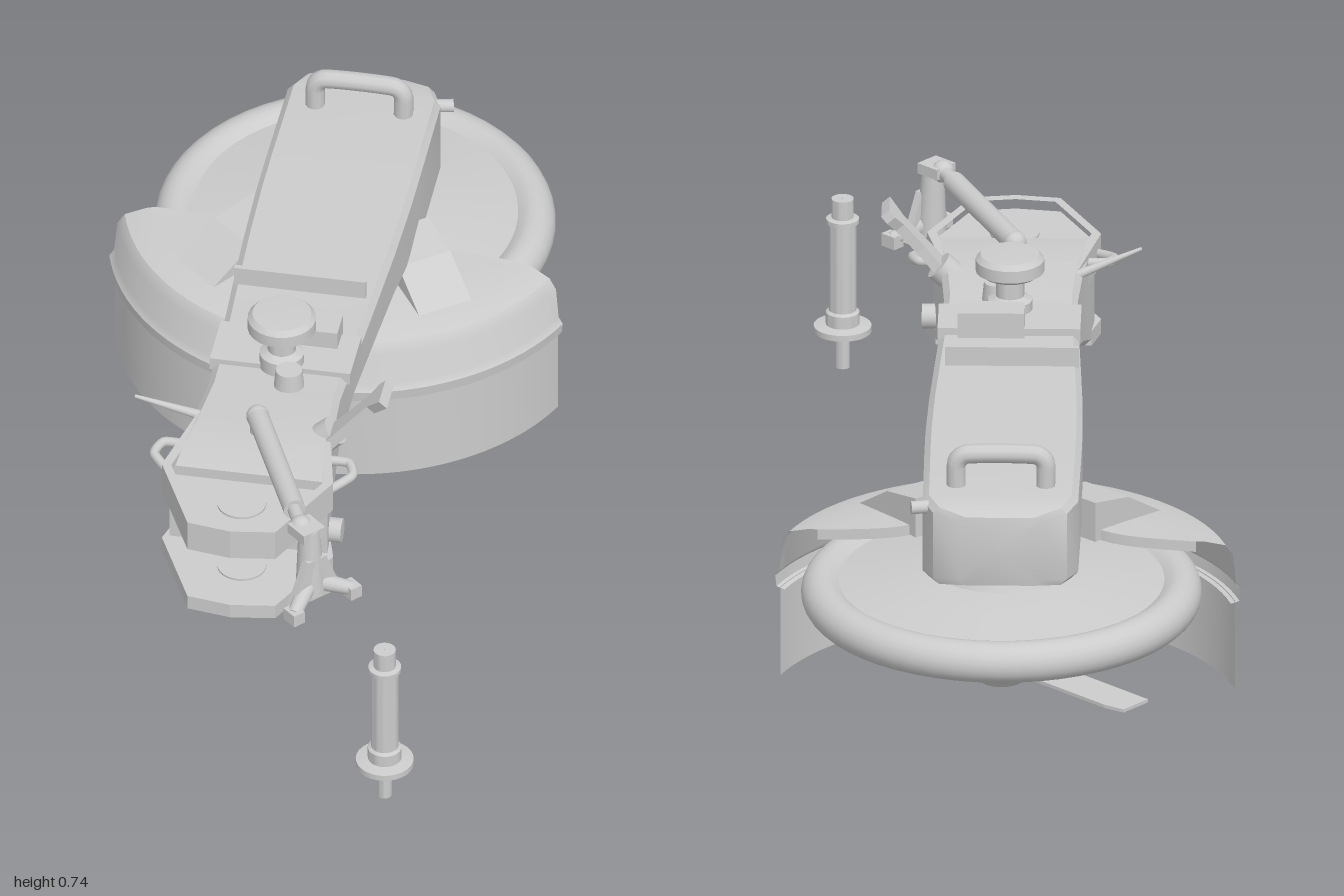
import * as THREE from 'three';
import { toCreasedNormals } from 'three/addons/utils/BufferGeometryUtils.js';

const grey = new THREE.MeshStandardMaterial({ color: 0xcccccc });
const thin = new THREE.MeshStandardMaterial({ color: 0xcccccc, side: THREE.DoubleSide });
const V = (x, y, z) => new THREE.Vector3(x, y, z);
const vec2 = pts => pts.map(p => new THREE.Vector2(...p));

function add(parent, name, geo, x = 0, y = 0, z = 0, mat = grey) {
  const m = new THREE.Mesh(geo, mat);
  m.name = name;
  m.position.set(x, y, z);
  parent.add(m);
  return m;
}

// Straight round bar between two points
function rod(parent, name, a, b, r, r2 = r) {
  const d = b.clone().sub(a), mid = a.clone().add(b).multiplyScalar(0.5);
  const m = add(parent, name, new THREE.CylinderGeometry(r2, r, d.length(), 16), mid.x, mid.y, mid.z);
  m.quaternion.setFromUnitVectors(V(0, 1, 0), d.normalize());
}

// Surface skinned over rows of points
function skin(rows) {
  const n = rows[0].length, pos = [], index = [];
  rows.forEach(row => row.forEach(p => pos.push(p.x, p.y, p.z)));
  for (let i = 0; i < rows.length - 1; i++)
    for (let j = 0; j < n - 1; j++) {
      const a = i * n + j, b = a + n;
      index.push(a, b, a + 1, b, b + 1, a + 1);
    }
  const g = new THREE.BufferGeometry();
  g.setAttribute('position', new THREE.Float32BufferAttribute(pos, 3));
  g.setIndex(index);
  return toCreasedNormals(g, 0.6);
}

// Flat outline given a thickness
function slab(points, depth, hole) {
  const s = new THREE.Shape(vec2(points));
  if (hole) s.holes.push(hole);
  return new THREE.ExtrudeGeometry(s, { depth, bevelEnabled: false });
}
// The same lying flat, its upper face at y = 0
const plate = (...args) => slab(...args).rotateX(Math.PI / 2);

const lathe = (pts, seg = 48) => toCreasedNormals(new THREE.LatheGeometry(vec2(pts), seg), 0.6);

const tube = (pts, r) =>
  new THREE.TubeGeometry(new THREE.CatmullRomCurve3(pts, false, 'catmullrom', 0.3), 40, r, 10);

function buildDeck(g) {
  // Dished disc with a rolled bumper rim, conical underneath
  const rim = [];
  for (let i = 0; i <= 12; i++) {
    const a = -Math.PI / 2 + i / 12 * Math.PI * 1.15;
    rim.push([0.402 + 0.047 * Math.cos(a), 0.298 + 0.047 * Math.sin(a)]);
  }
  add(g, 'bumperDish', lathe([[0.001, 0.35], [0.1, 0.345], [0.25, 0.322], [0.37, 0.285], [0.39, 0.255], ...rim,
    [0.365, 0.328], [0.25, 0.345], [0.15, 0.36], [0.001, 0.365]], 56), 0, 0, 0, thin);
  add(g, 'armMount', new THREE.CylinderGeometry(0.13, 0.16, 0.06, 32), 0, 0.38);

  // Hub, cap and cutting blade
  add(g, 'hub', lathe([[0.001, 0.08], [0.05, 0.085], [0.085, 0.115], [0.09, 0.145], [0.053, 0.15],
    [0.053, 0.215], [0.075, 0.22], [0.075, 0.25], [0.06, 0.26], [0.06, 0.35]], 32), 0, 0, 0, thin);
  const blade = add(g, 'blade', plate([[-0.41, -0.035], [-0.36, -0.045], [0.41, -0.045], [0.41, 0.035],
    [0.36, 0.045], [-0.41, 0.045]], 0.008), 0, 0.142);
  blade.rotation.y = Math.PI / 2 - g.rotation.y;

  // Hood wrapping the forward side of the deck; it narrows at both ends
  const sweep = 71 * Math.PI / 180, hood = [], skirt = [];
  for (let i = 0; i <= 40; i++) {
    const t = 1 - i / 20, phi = Math.PI + 0.06 + t * sweep, inner = 0.25 + 0.2 * t ** 8;
    const at = (r, y) => V(r * Math.cos(phi), y, r * Math.sin(phi));
    const peak = 0.4 - 0.03 * t * t;
    hood.push([[0.53, 0.21], [0.55, 0.215], [0.553, 0.24], [0.542, 0.255], [0.535, 0.33], [0.518, 0.354],
      [0.47, 0.368], [(0.47 + inner) / 2, (0.368 + peak) / 2], [inner, peak], [inner, peak - 0.025]]
      .map(p => at(...p)));
    skirt.push([at(0.54, 0), at(0.54, 0.215)]);
  }
  add(g, 'hood', skin(hood), 0, 0, 0, thin);
  add(g, 'skirt', skin(skirt), 0, 0, 0, thin);

  // Wedge ribs on the hood
  for (const s of [-1, 1]) {
    const geo = slab([[0.24, 0.36], [0.47, 0.36], [0.35, 0.435], [0.24, 0.455]], 0.13).translate(0, 0, -0.065);
    add(g, 'hoodRib', geo).rotation.y = Math.PI - 0.04 + s * 0.68;
  }
  add(g, 'hoodBracket', new THREE.BoxGeometry(0.2, 0.07, 0.22), -0.32, 0.425, 0);
}

function buildArm(g) {
  // Arm beam: position along the arm, top, bottom, half width
  const stations = [[-1.32, 0.59, 0.358, 0.18], [-1.25, 0.598, 0.36, 0.174], [-1.15, 0.6, 0.4, 0.16],
    [-1, 0.588, 0.45, 0.15], [-0.85, 0.58, 0.472, 0.155], [-0.62, 0.58, 0.462, 0.165],
    [-0.45, 0.58, 0.45, 0.172], [-0.27, 0.58, 0.41, 0.176], [-0.15, 0.58, 0.382, 0.176],
    [0.11, 0.578, 0.38, 0.174], [0.165, 0.572, 0.385, 0.15], [0.195, 0.56, 0.395, 0.09]];
  const c = 0.014;
  const rows = stations.map(([u, t, b, w]) => [[w - c, t], [c - w, t], [-w, t - c], [-w, b + c],
    [c - w, b], [w - c, b], [w, b + c], [w, t - c], [w - c, t]].map(([z, y]) => V(u, y, z)));
  const cap = row => row.map(p => V(p.x, 0.48, 0));
  add(g, 'armBeam', skin([cap(rows[0]), ...rows, cap(rows.at(-1))]));

  // Rear grab handle and latch pin
  add(g, 'rearHandle', tube([V(0.05, 0.56, -0.1), V(0.05, 0.63, -0.1), V(0.05, 0.652, -0.08),
    V(0.05, 0.655, 0), V(0.05, 0.652, 0.08), V(0.05, 0.63, 0.1), V(0.05, 0.56, 0.1)], 0.022));
  rod(g, 'latchPin', V(0.12, 0.555, 0.15), V(0.13, 0.555, 0.2), 0.015);

  // Cross bar, saddle and adjusting knob
  add(g, 'crossBar', new THREE.BoxGeometry(0.012, 0.05, 0.3), -0.625, 0.6, -0.01);
  add(g, 'saddle', new THREE.BoxGeometry(0.14, 0.03, 0.32), -0.86, 0.582, 0);
  add(g, 'saddleBlock', new THREE.BoxGeometry(0.07, 0.06, 0.15), -0.81, 0.61, 0.04);
  add(g, 'knob', lathe([[0.001, 0.58], [0.05, 0.58], [0.05, 0.62], [0.032, 0.63], [0.032, 0.675],
    [0.062, 0.68], [0.077, 0.69], [0.077, 0.718], [0.066, 0.73], [0.001, 0.733]], 24), -0.906, 0, 0);
  add(g, 'smallKnob', new THREE.CylinderGeometry(0.03, 0.035, 0.05, 16), -0.98, 0.605, 0.03);

  // Hitch head: rimmed top plate and shorter bottom plate, each with a bushing
  const nose = [[-1.33, -0.195], [-1.53, -0.1], [-1.545, 0], [-1.53, 0.1], [-1.33, 0.195]];
  const outline = [[-1.13, -0.15], ...nose, [-1.13, 0.15]];
  const inset = new THREE.Path(vec2(outline.map(([x, z]) => [-1.33 + (x + 1.33) * 0.89, z * 0.89])));
  add(g, 'headTopPlate', plate(outline, 0.04), 0, 0.565);
  add(g, 'headRim', plate(outline, 0.075, inset), 0, 0.598);
  add(g, 'headBottomPlate', plate([[-1.26, -0.175], ...nose, [-1.26, 0.175]], 0.035), 0, 0.39);
  for (const y of [0.547, 0.372])
    add(g, 'bushing', new THREE.CylinderGeometry(0.055, 0.055, 0.046, 28), -1.4, y, 0);

  // Side loops and a boss
  for (const s of [-1, 1])
    add(g, 'sideLoop', tube([V(-1.22, 0.575, s * 0.15), V(-1.22, 0.575, s * 0.21), V(-1.26, 0.57, s * 0.225),
      V(-1.31, 0.56, s * 0.18)], 0.011));
  rod(g, 'sideBoss', V(-1.27, 0.42, 0.15), V(-1.27, 0.42, 0.205), 0.028);

  // Flared lever on one side, slim spike on the other
  const lever = add(g, 'lever', slab([[-0.035, 0], [0.035, 0], [0.022, 0.1], [0.022, 0.17], [0.035, 0.2],
    [0.03, 0.22], [-0.05, 0.22], [-0.025, 0.17]], 0.024), -1.15, 0.575, 0.13);
  lever.rotation.x = 0.72;
  rod(g, 'leverFoot', V(-1.14, 0.55, 0.11), V(-1.14, 0.6, 0.165), 0.035);
  rod(g, 'spike', V(-1.12, 0.58, -0.13), V(-1.15, 0.64, -0.29), 0.012, 0.004);
}

function buildStrut(g) {
  // Gas strut running to the foot bracket
  const a = V(-0.495, 0.642, 0.235), b = V(-0.665, 0.648, 0.62), mid = a.clone().lerp(b, 0.85);
  rod(g, 'strutBody', a, mid, 0.025);
  rod(g, 'strutRod', mid, b, 0.016);
  for (const p of [a, b]) add(g, 'strutJoint', new THREE.SphereGeometry(0.026, 16, 12), p.x, p.y, p.z);
  rod(g, 'strutMount', V(-0.495, 0.57, 0.235), a, 0.018);

  // Foot bracket: post, gusset and two splayed feet
  const x = -0.665;
  rod(g, 'bracketPost', V(x, 0.49, 0.655), V(x, 0.66, 0.65), 0.034, 0.024);
  add(g, 'bracketCap', new THREE.BoxGeometry(0.06, 0.025, 0.06), x, 0.65, 0.64);
  add(g, 'bracketGusset', slab([[-0.07, 0.48], [0.07, 0.48], [0.025, 0.59], [-0.025, 0.59]], 0.02), x, 0, 0.66);
  for (const s of [-1, 1]) {
    rod(g, 'bracketFoot', V(x, 0.52, 0.655), V(x + s * 0.08, 0.485, 0.7), 0.022, 0.016);
    add(g, 'footPad', new THREE.BoxGeometry(0.03, 0.03, 0.04), x + s * 0.08, 0.482, 0.7);
  }
}

export function createModel() {
  const model = new THREE.Group();
  model.name = 'mowerArm';

  // Deck and arm share an axis through the deck centre
  for (const [name, build] of [['deck', buildDeck], ['arm', buildArm]]) {
    const g = new THREE.Group();
    g.name = name;
    g.position.set(0.376, 0, -0.553);
    g.rotation.y = 42.4 * Math.PI / 180;
    build(g);
    model.add(g);
  }

  const strut = new THREE.Group();
  strut.name = 'strutAssembly';
  buildStrut(strut);
  model.add(strut);

  // Separate hitch pin
  add(model, 'hitchPin', lathe([[0.001, 0.08], [0.016, 0.08], [0.016, 0.15], [0.035, 0.155], [0.035, 0.165],
    [0.065, 0.168], [0.065, 0.182], [0.038, 0.186], [0.038, 0.215], [0.031, 0.22], [0.031, 0.43],
    [0.037, 0.432], [0.037, 0.442], [0.025, 0.445], [0.025, 0.49], [0.001, 0.49]], 28), -0.665, 0, 0.93);
  return model;
}
